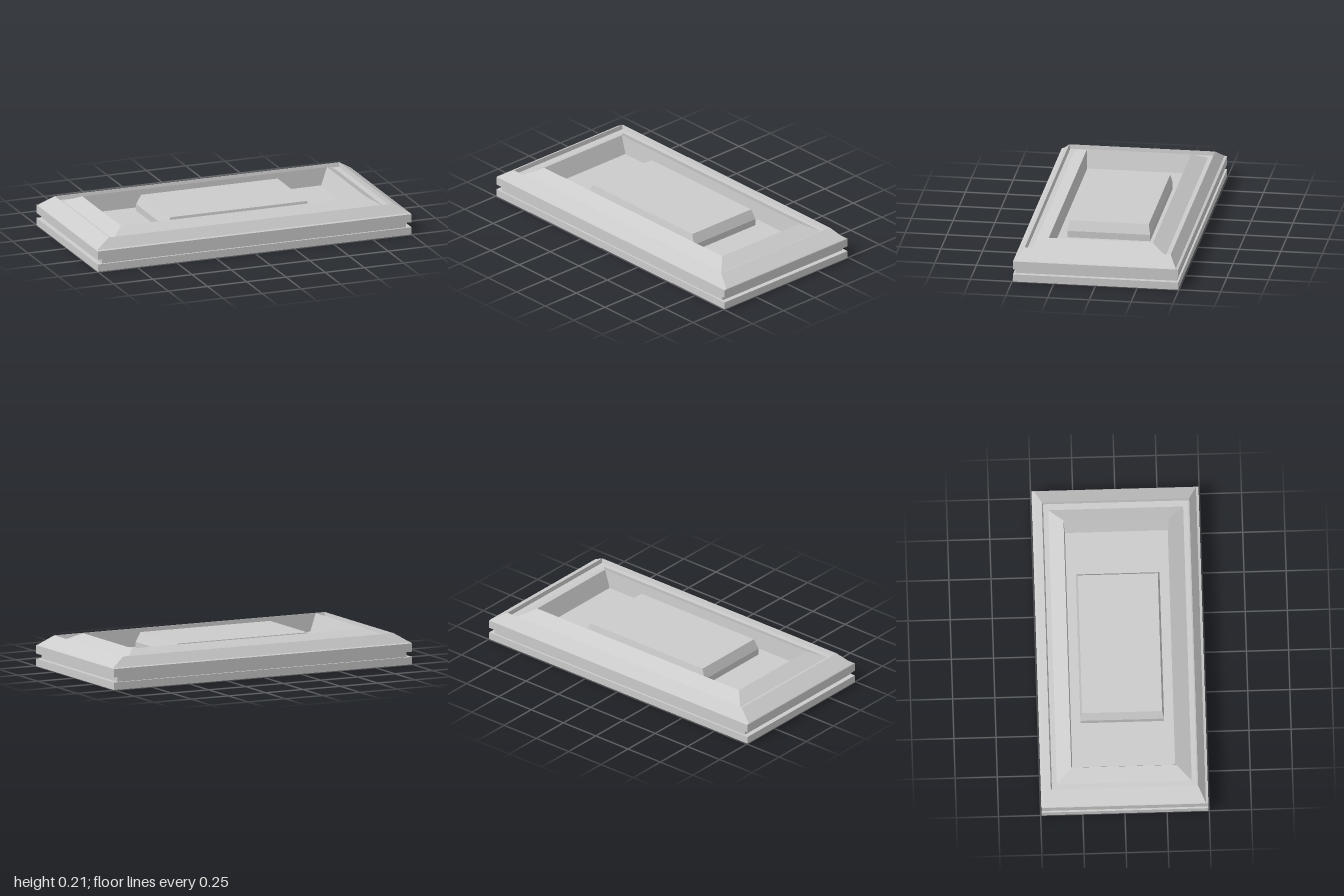
import * as THREE from 'three';

const material = new THREE.MeshStandardMaterial({
  color: 0xcccccc, flatShading: true, side: THREE.DoubleSide,
});

// Corners run counter-clockwise seen from above
const CORNERS = [[1, 1], [1, -1], [-1, -1], [-1, 1]];

// Skin a stack of rectangles [halfWidth, halfDepth, height]; optionally close the last one
function rectLoft(name, loops, cap = false) {
  const positions = [];
  const point = ([hx, hz, y], i) => {
    const [sx, sz] = CORNERS[i % 4];
    return [sx * hx, y, sz * hz];
  };
  const quad = (a, b, c, d) => positions.push(...a, ...b, ...c, ...a, ...c, ...d);
  for (let k = 0; k < loops.length - 1; k++) {
    for (let i = 0; i < 4; i++) {
      quad(point(loops[k], i), point(loops[k], i + 1),
        point(loops[k + 1], i + 1), point(loops[k + 1], i));
    }
  }
  if (cap) {
    const top = loops[loops.length - 1];
    quad(point(top, 0), point(top, 1), point(top, 2), point(top, 3));
  }
  const geometry = new THREE.BufferGeometry();
  geometry.setAttribute('position', new THREE.Float32BufferAttribute(positions, 3));
  geometry.computeVertexNormals();
  const mesh = new THREE.Mesh(geometry, material);
  mesh.name = name;
  return mesh;
}

export function createModel() {
  const group = new THREE.Group();
  group.name = 'framedPanel';

  // Lower band, open underneath
  const lowerTop = [0.97, 0.483, 0.045];
  group.add(rectLoft('lowerBand', [[1, 0.495, 0], [1, 0.495, 0.045], lowerTop]));

  // Recessed groove between the two bands
  const grooveTop = [0.97, 0.483, 0.076];
  group.add(rectLoft('groove', [lowerTop, grooveTop]));

  // Upper band with bevelled rim and a short inner drop
  const gutterInner = [0.865, 0.4, 0.16];
  group.add(rectLoft('bevelledRim', [
    grooveTop, [1, 0.495, 0.076], [1, 0.495, 0.126], [0.997, 0.48, 0.13],
    [0.907, 0.437, 0.186], [0.903, 0.43, 0.16], gutterInner,
  ]));

  // Inner frame: rises to a ridge, then falls to the sunken floor
  const floorEdge = [0.74, 0.305, 0.1];
  group.add(rectLoft('innerFrame', [gutterInner, [0.78, 0.312, 0.207], floorEdge]));

  // Sunken floor around the centre block
  const blockFoot = [0.462, 0.248, 0.1];
  group.add(rectLoft('sunkenFloor', [floorEdge, blockFoot]));

  // Raised centre block with chamfered top
  group.add(rectLoft('centreBlock',
    [blockFoot, [0.462, 0.248, 0.14], [0.435, 0.237, 0.198]], true));

  return group;
}
